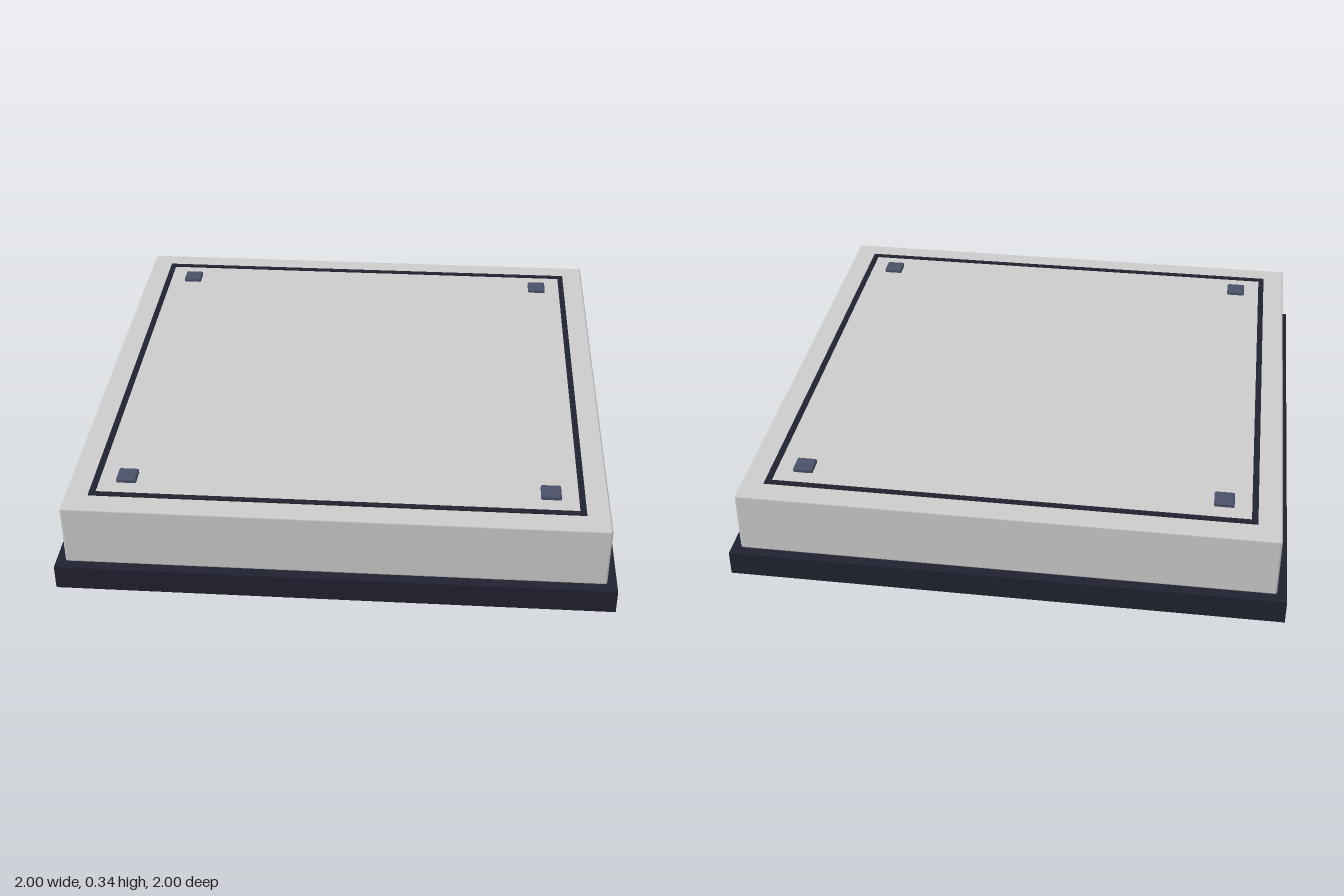
import * as THREE from 'three';
import { RoundedBoxGeometry } from 'three/addons/geometries/RoundedBoxGeometry.js';

const grey = new THREE.MeshStandardMaterial({ color: 0xcccccc });
const dark = new THREE.MeshStandardMaterial({ color: 0x20222f });
const slate = new THREE.MeshStandardMaterial({ color: 0x4a5068 });

function add(group, name, geometry, material, x, y, z) {
  const mesh = new THREE.Mesh(geometry, material);
  mesh.name = name;
  mesh.position.set(x, y, z);
  group.add(mesh);
}

// Closed square outline centred on the origin
function square(half, PathType) {
  return new PathType().moveTo(-half, -half).lineTo(half, -half)
    .lineTo(half, half).lineTo(-half, half).closePath();
}

export function createModel() {
  const model = new THREE.Group();
  model.name = 'floorTile';

  // Dark plinth and the grey slab with softened edges
  add(model, 'base', new THREE.BoxGeometry(2, 0.092, 2), dark, 0, 0.046, 0);
  add(model, 'slab', new RoundedBoxGeometry(1.93, 0.236, 1.93, 2, 0.008), grey, 0, 0.21, 0);

  // Thin square inlay, just proud of the slab
  const outline = square(0.88, THREE.Shape);
  outline.holes.push(square(0.858, THREE.Path));
  const inlay = new THREE.ExtrudeGeometry(outline, { depth: 0.012, bevelEnabled: false });
  inlay.rotateX(-Math.PI / 2);
  add(model, 'inlayFrame', inlay, dark, 0, 0.32, 0);

  // Corner studs
  const stud = new RoundedBoxGeometry(0.072, 0.028, 0.072, 2, 0.006);
  for (const x of [-0.76, 0.76]) {
    for (const z of [-0.76, 0.76]) add(model, 'cornerStud', stud, slate, x, 0.329, z);
  }
  return model;
}
